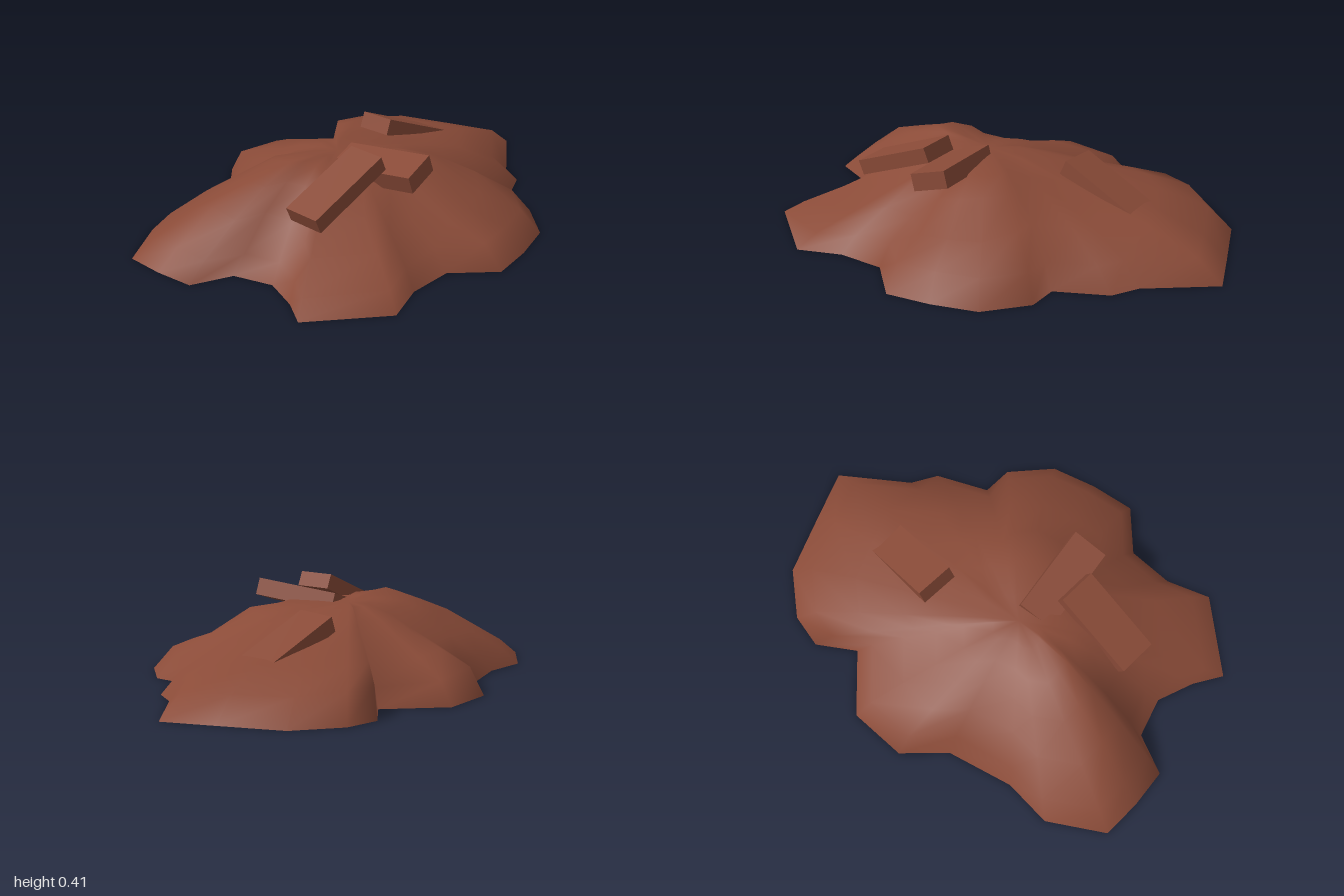
import * as THREE from 'three';

// Footprint of the mound as [x, z], going round from the back right-hand side
const OUTLINE = [
  [-1, -0.37], [-0.78, -0.52], [-0.57, -0.515], [-0.29, -0.6], [-0.14, -0.755], [0.11, -0.77],
  [0.32, -0.57], [0.47, -0.68], [0.62, -0.655], [0.8, -0.52], [0.91, -0.27], [1, -0.06],
  [0.74, 0.15], [0.68, 0.26], [0.47, 0.37], [0.47, 0.5], [0.33, 0.665], [0.14, 0.73],
  [-0.05, 0.768], [-0.21, 0.62], [-0.41, 0.63], [-0.59, 0.705], [-0.88, 0.48], [-0.81, 0.36],
  [-0.755, 0.2], [-0.81, 0.035], [-0.98, -0.03], [-1, -0.2],
];
const CENTRE = [-0.15, 0.31, -0.05];

// Scale of each ring, and the slope from rim to centre along chosen outline points
const RINGS = [1, 0.9, 0.7, 0.5, 0.33, 0.15];
const SLOPES = [
  [0, [0, 0.07, 0.17, 0.25, 0.32, 0.32]],
  [2, [0, 0.07, 0.16, 0.23, 0.285, 0.31]],
  [4, [0, 0.11, 0.165, 0.21, 0.265, 0.305]],
  [6, [0, 0.07, 0.15, 0.215, 0.265, 0.305]],
  [7, [0, 0.12, 0.17, 0.215, 0.265, 0.305]],
  [9, [0, 0.1, 0.17, 0.215, 0.255, 0.3]],
  [10, [0, 0.095, 0.175, 0.215, 0.255, 0.3]],
  [11, [0, 0.09, 0.168, 0.207, 0.255, 0.3]],
  [12, [0, 0.09, 0.175, 0.225, 0.267, 0.3]],
  [14, [0, 0.09, 0.195, 0.265, 0.3, 0.305]],
  [15, [0, 0.1, 0.195, 0.275, 0.305, 0.308]],
  [16, [0, 0.1, 0.165, 0.28, 0.305, 0.31]],
  [18, [0, 0.1, 0.148, 0.24, 0.305, 0.31]],
  [20, [0, 0.07, 0.16, 0.25, 0.305, 0.312]],
  [21, [0, 0.06, 0.13, 0.2, 0.29, 0.318]],
  [22, [0, 0.05, 0.125, 0.215, 0.295, 0.32]],
  [23, [0, 0.06, 0.145, 0.25, 0.315, 0.322]],
  [24, [0, 0.07, 0.185, 0.285, 0.325, 0.325]],
  [25, [0, 0.07, 0.2, 0.285, 0.335, 0.327]],
  [26, [0, 0.075, 0.19, 0.28, 0.342, 0.33]],
  [27, [0, 0.085, 0.215, 0.28, 0.332, 0.325]],
];

// Height on ring r at outline point i, blended between the nearest slopes
function heightAt(i, r) {
  const next = SLOPES.findIndex(([spoke]) => spoke >= i);
  const [b, high] = SLOPES[next];
  if (b === i) return high[r];
  const [a, low] = SLOPES[next - 1];
  return low[r] + (high[r] - low[r]) * (i - a) / (b - a);
}

// Open shell made of shrinking rings that climb to the centre
function moundGeometry() {
  const [cx, cy, cz] = CENTRE;
  const n = OUTLINE.length;
  const positions = [];
  const index = [];
  RINGS.forEach((t, r) => {
    OUTLINE.forEach(([x, z], i) => {
      positions.push(cx + (x - cx) * t, heightAt(i, r), cz + (z - cz) * t);
    });
  });
  positions.push(cx, cy, cz);
  const top = RINGS.length * n;
  for (let r = 0; r < RINGS.length; r++) {
    for (let i = 0; i < n; i++) {
      const a = r * n + i, b = r * n + (i + 1) % n;
      if (r === RINGS.length - 1) index.push(a, top, b);
      else index.push(a, a + n, b, b, a + n, b + n);
    }
  }
  const geometry = new THREE.BufferGeometry();
  geometry.setAttribute('position', new THREE.Float32BufferAttribute(positions, 3));
  geometry.setIndex(index);
  geometry.computeVertexNormals();
  return geometry;
}

export function createModel() {
  const group = new THREE.Group();
  const clay = new THREE.MeshStandardMaterial({ color: 0x8a4b38, side: THREE.DoubleSide });
  clay.name = 'brick red';

  const mound = new THREE.Mesh(moundGeometry(), clay);
  mound.name = 'rubbleMound';
  group.add(mound);

  // Loose bricks half sunk into the slope
  const addBrick = (name, size, position, rotation) => {
    const brick = new THREE.Mesh(new THREE.BoxGeometry(...size), clay);
    brick.name = name;
    brick.position.set(...position);
    brick.rotation.set(...rotation, 'YXZ');
    group.add(brick);
  };
  addBrick('rightBrick', [0.395, 0.066, 0.168], [-0.405, 0.298, 0.203], [0, 0, 0.4]);
  addBrick('frontBrick', [0.16, 0.075, 0.39], [-0.15, 0.309, 0.205], [-0.1, 0.15, 0.28]);
  addBrick('leftBrick', [0.395, 0.07, 0.168], [0.392, 0.213, -0.165], [-0.06, -0.04, -0.4]);
  return group;
}
